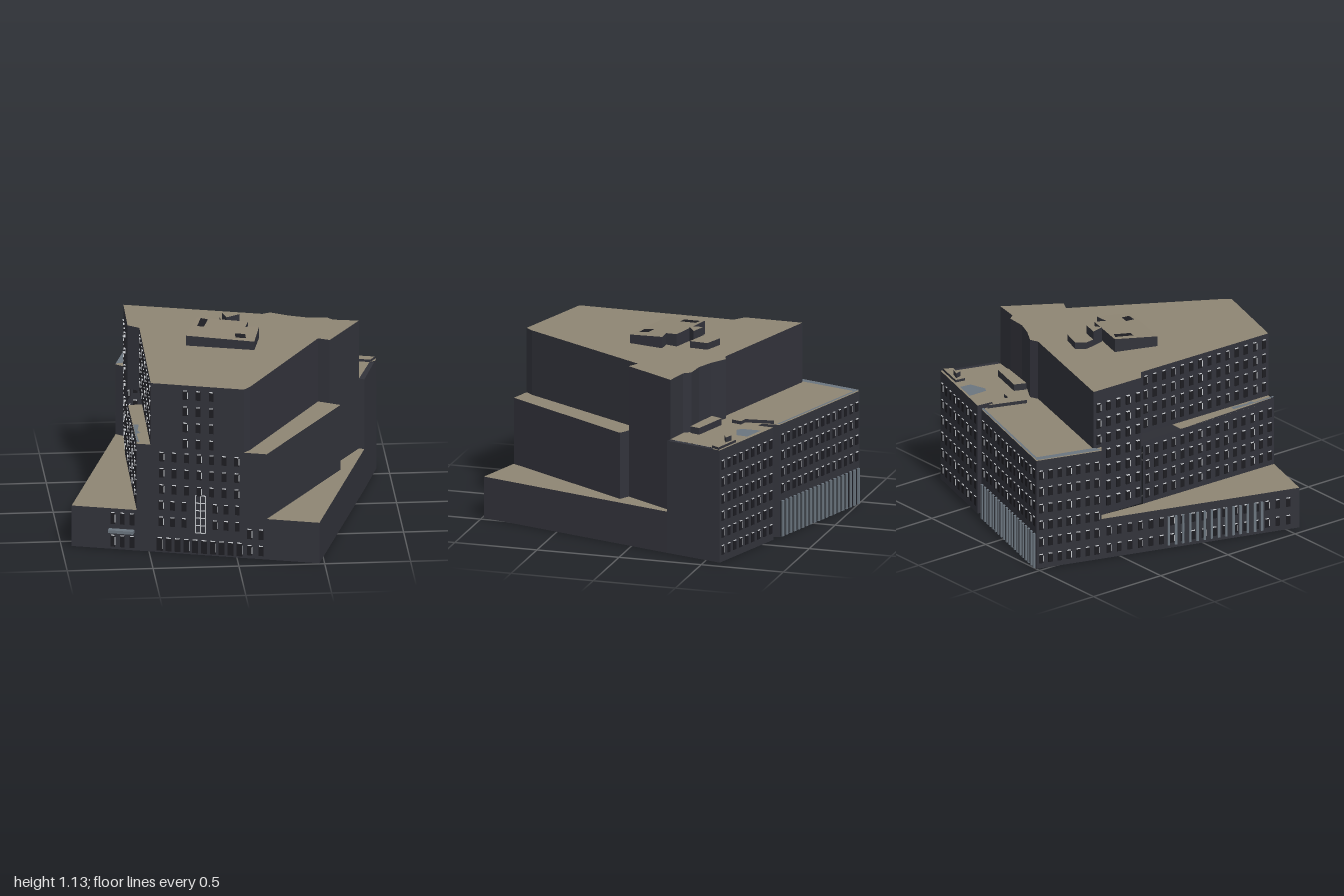
import * as THREE from 'three';
import { mergeGeometries } from 'three/addons/utils/BufferGeometryUtils.js';

const mat = (name, color) => new THREE.MeshStandardMaterial({ name, color, side: THREE.DoubleSide });

export function createModel() {
  const wallMat = mat('charcoal wall', 0x32333b);
  const roofMat = mat('tan roof', 0x8e8573);
  const slateMat = mat('slate metal', 0x6b757f);
  const glassMat = mat('dark glass', 0x1d1d22);
  const paleMat = mat('pale trim', 0xc9ccd0);
  const group = new THREE.Group();

  const add = (name, geo, material) => {
    const m = new THREE.Mesh(geo, material);
    m.name = name;
    group.add(m);
  };

  // Open run of upright wall panels along plan points [x, z]; top may be a function of z
  const wall = (name, pts, y0, y1, material = wallMat) => {
    const top = typeof y1 === 'function' ? y1 : () => y1;
    const v = [];
    for (let i = 0; i < pts.length - 1; i++) {
      const [ax, az] = pts[i], [bx, bz] = pts[i + 1];
      const ta = top(az), tb = top(bz);
      v.push(ax, y0, az, bx, y0, bz, bx, tb, bz, ax, y0, az, bx, tb, bz, ax, ta, az);
    }
    const g = new THREE.BufferGeometry();
    g.setAttribute('position', new THREE.Float32BufferAttribute(v, 3));
    g.computeVertexNormals();
    add(name, g, material);
  };

  // Flat (or gently sloping) roof over a plan outline
  const roof = (name, pts, y, material = roofMat) => {
    const g = new THREE.ShapeGeometry(new THREE.Shape(pts.map(([x, z]) => new THREE.Vector2(x, -z))));
    g.rotateX(-Math.PI / 2);
    const p = g.attributes.position;
    for (let i = 0; i < p.count; i++) p.setY(i, typeof y === 'function' ? y(p.getZ(i)) : y);
    g.computeVertexNormals();
    add(name, g, material);
  };

  // Raised rooftop volume, open below; outline runs clockwise seen from above
  const block = (name, pts, y0, y1) => {
    wall(name + 'Walls', [...pts, pts[0]], y0, y1);
    roof(name + 'Roof', pts, y1);
  };

  // Thin plates on a wall from a to b: each item is [distance, height, width, tall]
  const plates = (name, a, b, items, material, depth = 0.008) => {
    const dx = b[0] - a[0], dz = b[1] - a[1], len = Math.hypot(dx, dz);
    const geos = items.map(([s, y, w, h]) => {
      const g = new THREE.BoxGeometry(w, h, depth);
      g.rotateY(-Math.atan2(dz, dx));
      return g.translate(a[0] + dx * s / len, y, a[1] + dz * s / len);
    });
    if (geos.length) add(name, mergeGeometries(geos), material);
  };

  // Grid of dark windows with pale slivers at head and jamb
  const windows = (name, a, b, cols, ys, { from = 0, to = 1, w = 0.028, h = 0.055, trim = true } = {}) => {
    const len = Math.hypot(b[0] - a[0], b[1] - a[1]);
    const panes = [], trims = [];
    for (const y of ys) for (let i = 0; i < cols; i++) {
      const s = len * (from + (to - from) * (i + 0.5) / cols);
      panes.push([s, y, w, h]);
      if (trim) {
        trims.push([s, y + h / 2, w * 0.8, 0.005]);
        if (i % 3 === 0) trims.push([s + w / 2, y, 0.004, h * 0.7]);
      }
    }
    plates(name + 'Glass', a, b, panes, glassMat);
    plates(name + 'Trim', a, b, trims, paleMat, 0.0095);
  };
  const rows = (y, n, step = 0.1) => Array.from({ length: n }, (_, i) => y + i * step);

  // Plan corners
  const backLeft = [-0.47, -1], backRight = [0.93, -0.59];
  const frontRight = [0.47, 0.99], frontLeft = [-0.94, 0.58];
  const leftStep = [-0.587, -0.61], rightStep = [0.832, -0.24];
  const towerFL = [-0.49, 0.71], towerFR = [0.04, 0.865];
  const wingFL = [-0.57, 0.688], wingBL = [-0.56, -0.28];
  const midFR = [0.17, 0.902];
  const LOW = 0.25, MID = 0.65, BACK = 0.68, TOP = 1.04;

  // Tower
  const towerBack = [[0.8, -0.25], [0.65, -0.28], [0.62, -0.32], [0.5, -0.33], [0.4, -0.37],
    [0.3, -0.43], [0.25, -0.41], [-0.54, -0.63]];
  const towerLeft = [[-0.54, -0.63], [-0.545, -0.28], [-0.48, -0.23]];
  const towerRight = [towerFR, [0.08, 0.82], [0.54, 0.03], [0.605, 0.065], [0.8, -0.25]];
  wall('towerFront', [towerFL, towerFR], 0, TOP);
  wall('towerRight', towerRight.slice(0, 3), MID, TOP);
  wall('towerRightRear', towerRight.slice(2), LOW, TOP);
  wall('towerBack', towerBack, BACK, TOP);
  wall('towerLeftRear', towerLeft.slice(0, 2), LOW, TOP);
  wall('towerLeft', [...towerLeft.slice(1), towerFL], MID, TOP);
  roof('towerRoof', [towerFL, ...towerRight, ...towerBack, ...towerLeft.slice(1)], TOP);

  // Right middle wing and low podium
  wall('rightWingFront', [towerFR, midFR], 0, MID);
  wall('rightWingSide', [midFR, [0.665, 0.1], [0.605, 0.065]], LOW, MID);
  roof('rightWingRoof', [towerFR, midFR, [0.665, 0.1], [0.54, 0.03], [0.08, 0.82]], MID);
  wall('rightPodiumWalls', [midFR, frontRight, rightStep], 0, LOW);
  roof('rightPodiumRoof', [midFR, frontRight, rightStep, [0.8, -0.25], [0.605, 0.065], [0.665, 0.1]], LOW);

  // Left middle wing and low podium
  wall('leftWingSide', [wingBL, wingFL], LOW, (z) => (z > 0.3 ? 0.67 : 0.64));
  wall('leftWingFront', [wingFL, towerFL], 0, 0.66);
  roof('leftWingRoof', [[-0.564, 0], wingFL, towerFL, [-0.48, 0]], MID);
  roof('leftWingFlashing', [[-0.566, 0.39], [-0.535, 0.4], [-0.55, 0.5], [-0.535, 0.54], [-0.56, 0.55],
    [-0.555, 0.69], wingFL], 0.672, slateMat);
  wall('leftPodiumWalls', [leftStep, frontLeft, wingFL], 0, LOW);
  roof('leftPodiumRoof', [leftStep, frontLeft, wingFL, wingBL, [-0.54, -0.57]], LOW);

  // Rear block with a narrow slot in its back wall
  const slot = [[0.39, -0.748], [0.38, -0.65], [0.34, -0.66], [0.33, -0.766]];
  wall('rearBlockWalls', [rightStep, backRight, ...slot, backLeft, leftStep], 0, BACK);
  wall('rearBlockRightReturn', [rightStep, [0.8, -0.25]], LOW, BACK);
  wall('rearBlockLeftReturn', [leftStep, [-0.54, -0.57]], LOW, BACK);
  roof('rearBlockRoof', [[0.8, -0.25], [0.885, -0.53], [0.92, -0.55], backRight, ...slot, backLeft, leftStep,
    [-0.54, -0.57], ...towerBack.slice(1).reverse()], BACK);
  roof('rightGutter', [rightStep, [0.915, -0.54], [0.875, -0.53], [0.795, -0.25]], BACK - 0.005, wallMat);
  roof('leftCoping', [backLeft, leftStep, [-0.54, -0.62], [-0.435, -0.985]], BACK + 0.006, slateMat);
  roof('backCoping', [[-0.435, -0.988], [0.33, -0.766], [0.33, -0.752], [-0.438, -0.974]], BACK + 0.006, slateMat);
  roof('skylight', [[0.51, -0.71], [0.65, -0.67], [0.64, -0.6], [0.54, -0.57], [0.51, -0.59]], BACK + 0.012, slateMat);

  // Rooftop volumes on the rear block
  block('slotHood', [[0.32, -0.73], [0.34, -0.56], [0.39, -0.55], [0.37, -0.49], [0.24, -0.5]], BACK, 0.7);
  block('roofVent', [[0.43, -0.445], [0.66, -0.38], [0.64, -0.32], [0.4, -0.375]], BACK, 0.72);
  block('cornerUpstand', [[0.74, -0.63], [0.92, -0.58], [0.89, -0.53], [0.73, -0.57]], BACK, 0.695);
  block('chimney', [[0.76, -0.61], [0.81, -0.59], [0.77, -0.57]], 0.69, 0.725);

  // Penthouse with a sloping top, and the smaller volume behind it
  const slope = (z) => 1.108 - 0.08 * z;
  const pent = [[-0.15, -0.16], [0.14, -0.08], [0.12, -0.01], [0.2, -0.01], [0.155, 0.2], [-0.235, 0.09]];
  wall('penthouseWalls', [...pent, pent[0]], TOP, slope);
  roof('penthouseRoof', pent, slope);
  roof('penthouseVent', [[-0.13, -0.14], [-0.09, -0.12], [-0.12, -0.02], [-0.16, -0.03]], (z) => slope(z) + 0.004, glassMat);
  roof('penthouseHatch', [[0.05, 0.085], [0.11, 0.1], [0.11, 0.155], [0.05, 0.145]], (z) => slope(z) + 0.004, glassMat);
  block('rearPlant', [[0.03, -0.31], [0.15, -0.27], [0.14, -0.16], [0, -0.2], [-0.01, -0.26]], TOP, 1.08);
  block('plantLink', [[0, -0.2], [0.1, -0.17], [0.02, -0.12]], TOP, 1.13);

  // Front facade: shopfront, lower grid, upper bays, tall framed window
  windows('frontUpper', towerFL, towerFR, 3, rows(0.68, 4), { from: 0.3, to: 0.72 });
  windows('frontLower', towerFL, towerFR, 7, rows(0.39, 3), { from: 0.05, to: 0.99 });
  windows('frontLowerLeft', towerFL, towerFR, 3, rows(0.19, 2), { from: 0.05, to: 0.42 });
  windows('frontLowerRight', towerFL, towerFR, 3, rows(0.19, 2), { from: 0.63, to: 0.99 });
  windows('shopfront', towerFL, towerFR, 10, [0.05], { from: 0.05, to: 1, w: 0.035, h: 0.08 });
  windows('rightWingShop', towerFR, midFR, 2, [0.05, 0.15], { h: 0.06 });
  const bars = [0.245, 0.275, 0.305].map((s) => [s + 0.02, 0.25, 0.005, 0.23]);
  for (let i = 0; i < 6; i++) bars.push([0.295, 0.135 + i * 0.046, 0.06, 0.005]);
  plates('tallWindowFrame', towerFL, towerFR, bars, paleMat);

  // Left podium entrance with canopy
  windows('entrance', frontLeft, wingFL, 3, [0.05, 0.19], { from: 0.56, to: 1, h: 0.07 });
  const canopy = new THREE.BoxGeometry(0.15, 0.018, 0.04);
  canopy.rotateY(-0.283).translate(-0.66, 0.118, 0.68);
  add('canopy', canopy, slateMat);

  // Left side facades
  windows('rearLeft', backLeft, leftStep, 7, rows(0.06, 6, 0.105));
  windows('podiumLeft', leftStep, frontLeft, 18, [0.06, 0.17], { from: 0.01, to: 0.97 });
  plates('podiumSlats', leftStep, frontLeft,
    Array.from({ length: 14 }, (_, i) => [0.42 + i * 0.045, 0.11, 0.014, 0.18]), slateMat, 0.02);
  windows('leftWing', wingBL, wingFL, 15, rows(0.31, 4, 0.09));
  windows('towerLeft', [-0.48, -0.23], towerFL, 14, rows(0.71, 4, 0.09));
  windows('towerLeftRear', [-0.54, -0.63], wingBL, 5, rows(0.33, 7, 0.1));

  // Back facade with a two-storey colonnade at its left half
  windows('backUpper', slot[3], backLeft, 14, rows(0.29, 4, 0.1));
  plates('colonnadeGlass', slot[3], backLeft, [[0.417, 0.11, 0.81, 0.21]], glassMat);
  plates('colonnade', slot[3], backLeft,
    Array.from({ length: 20 }, (_, i) => [0.025 + i * 0.0415, 0.11, 0.018, 0.215]), slateMat, 0.025);
  windows('backRight', backRight, slot[0], 9, rows(0.07, 6, 0.103));

  return group;
}
